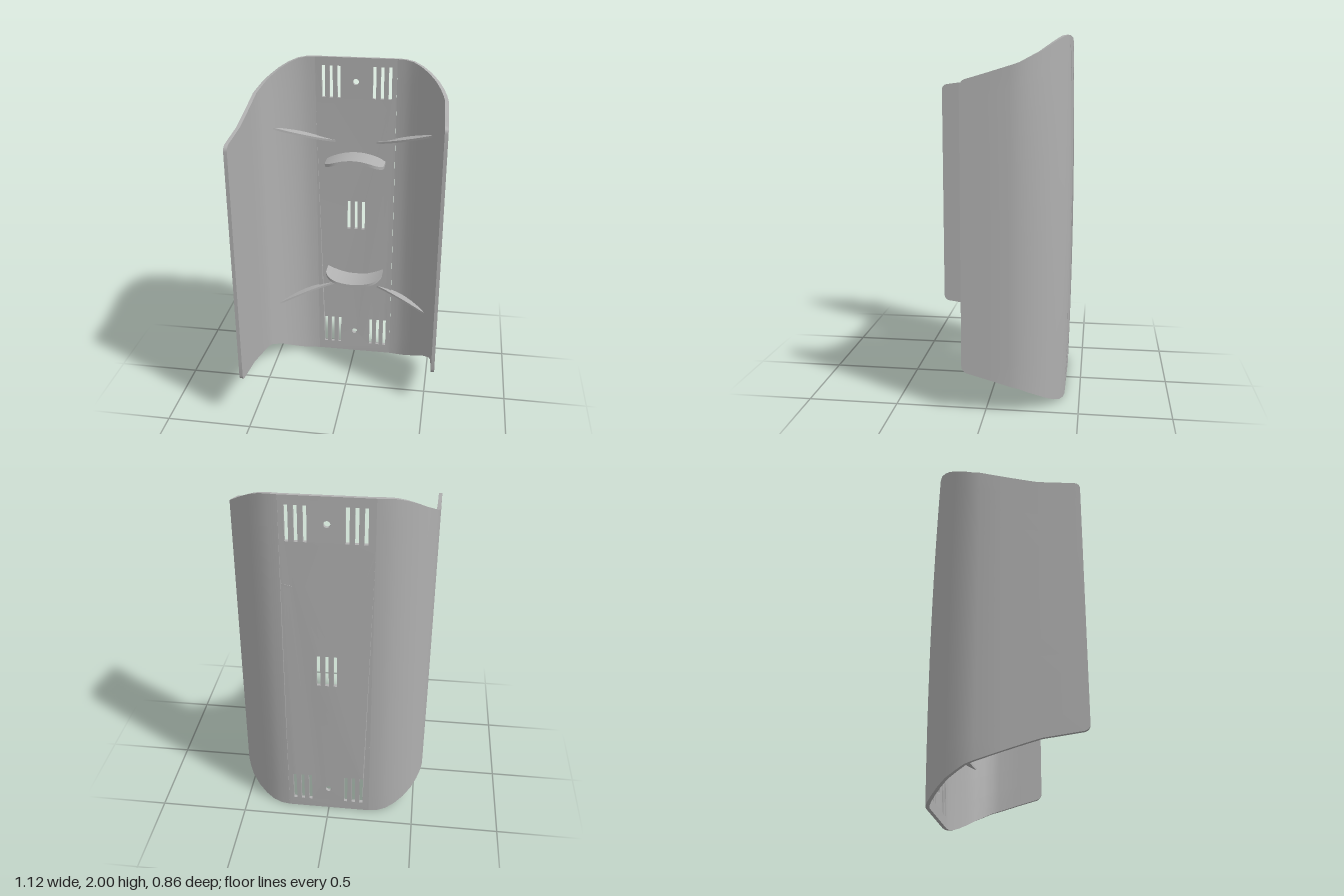
import * as THREE from 'three';
import { toCreasedNormals } from 'three/addons/utils/BufferGeometryUtils.js';

const ROWS = 14, THICK = 0.02, SEAM = 0.24;

// piecewise-linear lookup in [[key, value], ...]
function lookup(table, k) {
  if (k <= table[0][0]) return table[0][1];
  for (let i = 1; i < table.length; i++) {
    const [a, va] = table[i - 1], [b, vb] = table[i];
    if (k <= b) return va + (vb - va) * (k - a) / (b - a);
  }
  return table[table.length - 1][1];
}

// the back wall bows slightly, most in the middle of its height
function bow(y, z) {
  const w = Math.min(1, Math.max(0, (-0.15 - z) / 0.25));
  return z + 0.015 * w * (y - 1) ** 2;
}

// solid skinned over matching closed sections, capped at both ends
function loft(sections, flip) {
  const m = sections[0].length, n = sections.length, idx = [];
  const quad = (a, b, c, d) => flip ? idx.push(a, c, b, a, d, c) : idx.push(a, b, c, a, c, d);
  for (let i = 0; i < n - 1; i++) for (let k = 0; k < m; k++) {
    const k1 = (k + 1) % m;
    quad(i * m + k, (i + 1) * m + k, (i + 1) * m + k1, i * m + k1);
  }
  const e = (n - 1) * m;
  for (let k = 0; k < m / 2 - 1; k++) {
    quad(k, k + 1, m - 2 - k, m - 1 - k);
    quad(e + k, e + m - 1 - k, e + m - 2 - k, e + k + 1);
  }
  const g = new THREE.BufferGeometry();
  g.setAttribute('position', new THREE.Float32BufferAttribute(sections.flat(2), 3));
  g.setIndex(idx);
  return toCreasedNormals(g, 0.6);
}

// outer bend of the shell, from the flat back round to the side
const BEND = [[SEAM, -0.43], [0.29, -0.423], [0.34, -0.405], [0.39, -0.375], [0.44, -0.335],
  [0.485, -0.285], [0.515, -0.23], [0.535, -0.18], [0.546, -0.13]];
// height of the top edge by depth; the bottom edge mirrors it
const TOP = [[-0.425, 2], [-0.4, 1.99], [-0.37, 1.97], [-0.29, 1.915], [-0.18, 1.86],
  [0, 1.805], [0.12, 1.77], [0.2, 1.748], [0.43, 1.718]];

function sideWall(s, endX, endZ) {
  const path = BEND.map(p => new THREE.Vector2(...p));
  const [bx, bz] = BEND[BEND.length - 1];
  const drops = [];
  path.forEach(() => drops.push(0));
  // straight flank with a rounded front corner
  const add = (z, drop) => {
    path.push(new THREE.Vector2(bx + (endX - bx) * (z - bz) / (endZ - bz), z));
    drops.push(drop);
  };
  for (const z of [0, 0.06, 0.12, 0.2, 0.3]) if (z < endZ - 0.05) add(z, 0);
  for (let i = 0; i <= 4; i++) {
    const a = i / 4 * Math.PI / 2;
    add(endZ - 0.03 + 0.03 * Math.sin(a), 0.03 * (1 - Math.cos(a)));
  }
  const sections = path.map((p, i) => {
    const t = path[Math.min(i + 1, path.length - 1)].clone().sub(path[Math.max(i - 1, 0)]).normalize();
    if (i === 0) t.set(1, 0);
    const ix = p.x - t.y * THICK, iz = p.y + t.x * THICK;
    const top = lookup(TOP, p.y) - drops[i];
    const outer = [], inner = [];
    for (let r = 0; r <= ROWS; r++) {
      const y = top + (2 - 2 * top) * r / ROWS;
      outer.push([s * p.x, y, bow(y, p.y)]);
      inner.unshift([s * ix, y, bow(y, iz)]);
    }
    return [...outer, ...inner];
  });
  return loft(sections, s < 0);
}

// flat back with strap slots and round holes
function backWall() {
  const shape = new THREE.Shape();
  const pts = [];
  for (let r = 0; r <= ROWS; r++) pts.push(new THREE.Vector2(SEAM, 2 * r / ROWS));
  for (let r = ROWS; r >= 0; r--) pts.push(new THREE.Vector2(-SEAM, 2 * r / ROWS));
  shape.setFromPoints(pts);
  const slots = (cx, y0, y1) => {
    for (const dx of [-0.046, 0, 0.046]) {
      const a = cx + dx - 0.01, b = cx + dx + 0.01;
      shape.holes.push(new THREE.Path([[a, y0], [a, y1], [b, y1], [b, y0]]
        .map(p => new THREE.Vector2(...p))));
    }
  };
  for (const y of [0.06, 1.76]) {
    slots(-0.147, y, y + 0.19);
    slots(0.155, y, y + 0.19);
  }
  slots(0.004, 0.91, 1.1);
  for (const y of [0.152, 1.858]) {
    shape.holes.push(new THREE.Path().absarc(0, y, 0.018, 0, Math.PI * 2, true));
  }
  const g = new THREE.ExtrudeGeometry(shape, { depth: THICK, bevelEnabled: false, curveSegments: 8 });
  g.translate(0, 0, -0.43);
  const p = g.attributes.position;
  for (let i = 0; i < p.count; i++) p.setZ(i, bow(p.getY(i), p.getZ(i)));
  return toCreasedNormals(g, 0.6);
}

// thin curved shelf; stations are [x, y, back z, front z]
function shelf(stations, t, flip) {
  return loft(stations.map(([x, y, zb, zf]) => [
    [x, y + t / 2, zb], [x, y - t / 2, zb], [x, y - t / 2, zf], [x, y + t / 2, zf]]), flip);
}

export function createModel() {
  const model = new THREE.Group();
  const grey = new THREE.MeshStandardMaterial({ color: 0xb0b0b0 });
  grey.name = 'grey';
  const add = (name, geometry) => {
    const mesh = new THREE.Mesh(geometry, grey);
    mesh.name = name;
    model.add(mesh);
  };

  add('backWall', backWall());
  add('shortSideWall', sideWall(1, 0.56, 0.125));
  add('longSideWall', sideWall(-1, 0.562, 0.433));

  // upper shelves, and lower ones mirrored about mid height
  for (const [level, my] of [['upper', y => y], ['lower', y => 2 - y]]) {
    const centre = [];
    for (let i = 0; i <= 24; i++) {
      const u = -Math.cos(i / 24 * Math.PI);
      const c = Math.max(0, (Math.abs(u) * 0.18 - 0.1) / 0.08);
      const zf = -0.325 + 0.08 * Math.sqrt(Math.max(0, 1 - c * c));
      centre.push([0.004 + 0.18 * u, my(1.417 - 0.047 * u * u), -0.415, zf]);
    }
    add(level + 'CentreShelf', shelf(centre, 0.018, false));

    for (const s of [1, -1]) {
      const wing = [];
      for (let i = 0; i <= 12; i++) {
        const t = i / 12, x = 0.12 + 0.38 * t;
        const zb = lookup(BEND, x) + 0.012;
        const zf = Math.max(zb + 0.012, -0.4 + (x - 0.15) * 0.414);
        wing.push([s * x, my(1.49 + 0.115 * t ** 1.25), zb, zf]);
      }
      add(level + (s > 0 ? 'Left' : 'Right') + 'Shelf', shelf(wing, 0.013, s < 0));
    }
  }
  return model;
}
